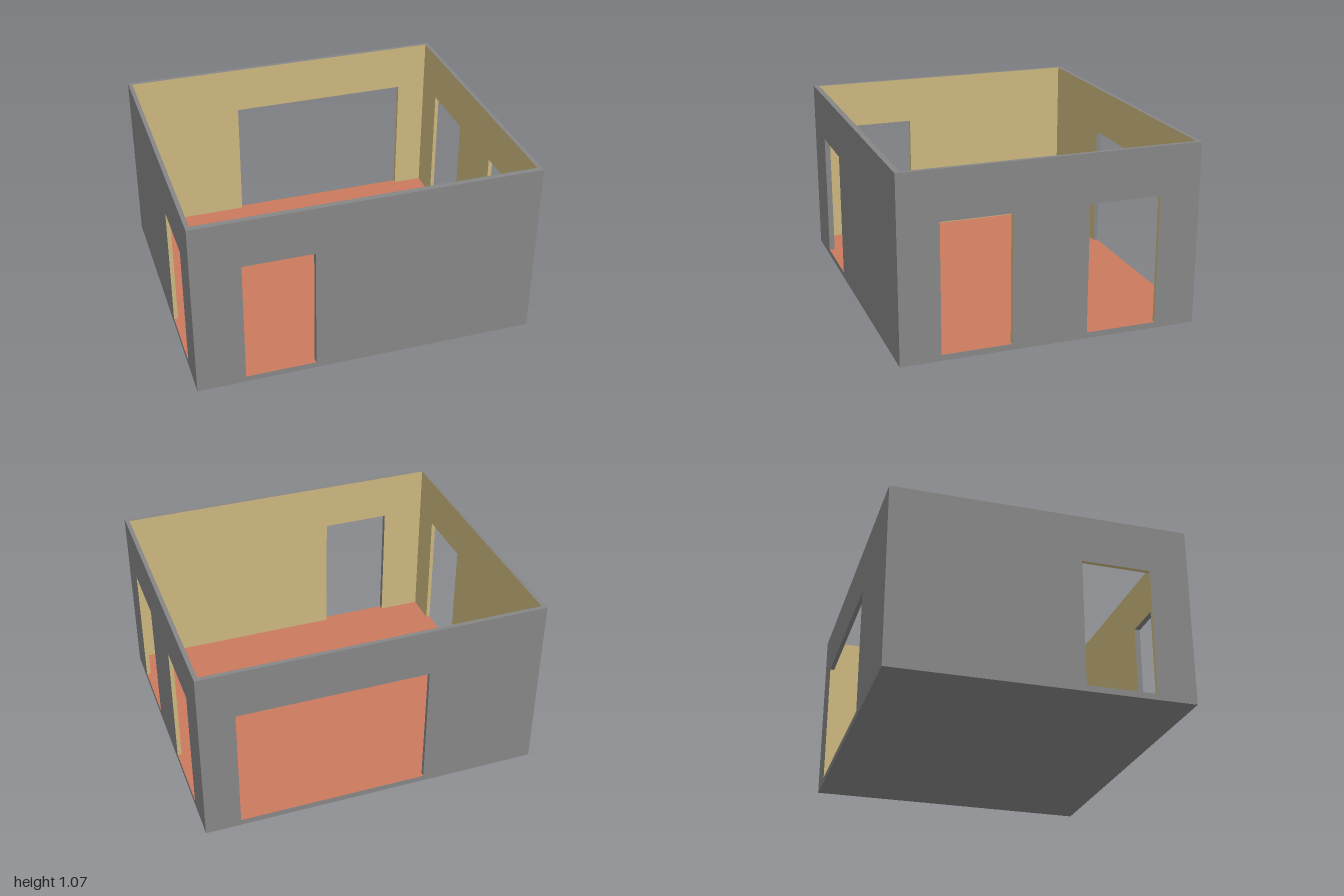
import * as THREE from 'three';

const H = 1.07;        // wall height
const FLOOR = 0.035;   // floor and sill height
const HEAD = 0.785;    // top of the openings
const X = 1, Z = 0.863;                          // outer half sizes
const IN = { x: 0.976, front: 0.83, back: 0.838 }; // inner faces

const grey = new THREE.MeshStandardMaterial({ color: 0x868686 });
const tan = new THREE.MeshStandardMaterial({ color: 0xcbb67d });
const red = new THREE.MeshStandardMaterial({ color: 0xca7a5f });

function add(parent, name, geometry, material) {
  const mesh = new THREE.Mesh(geometry, material);
  mesh.name = name;
  parent.add(mesh);
  return mesh;
}

function rectPoints(a, b, y0, y1) {
  return [[a, y0], [b, y0], [b, y1], [a, y1]].map(([x, y]) => new THREE.Vector2(x, y));
}

// One wall in its own frame: u runs along it, +z points outward.
// Each opening is [u0, u1, material of jamb at u0, material of jamb at u1].
function makeWall({ name, turn, half, outer, inner, innerRange: [a, b], openings }) {
  const wall = new THREE.Group();
  wall.name = name;
  wall.rotation.y = turn;

  // outer face with holes
  const face = new THREE.Shape(rectPoints(-half, half, 0, H));
  for (const [u0, u1] of openings) {
    face.holes.push(new THREE.Path(rectPoints(u0, u1, FLOOR, HEAD)));
  }
  add(wall, 'outerFace', new THREE.ShapeGeometry(face), grey).position.z = outer;

  // inner lining, notched down to the floor and turned to face the room
  const line = [[-b, FLOOR]];
  for (const [u0, u1] of [...openings].reverse()) {
    line.push([-u1, FLOOR], [-u1, HEAD], [-u0, HEAD], [-u0, FLOOR]);
  }
  line.push([-a, FLOOR], [-a, H], [-b, H]);
  const lining = new THREE.Shape(line.map(([x, y]) => new THREE.Vector2(x, y)));
  const liningMesh = add(wall, 'innerLining', new THREE.ShapeGeometry(lining), tan);
  liningMesh.rotation.y = Math.PI;
  liningMesh.position.z = inner;

  // reveals around each opening
  const t = outer - inner, zMid = (outer + inner) / 2, yMid = (FLOOR + HEAD) / 2;
  for (const [u0, u1, m0, m1] of openings) {
    for (const [u, s, m] of [[u0, 1, m0], [u1, -1, m1]]) {
      const jamb = add(wall, 'jamb', new THREE.PlaneGeometry(t, HEAD - FLOOR), m);
      jamb.rotation.y = s * Math.PI / 2;
      jamb.position.set(u, yMid, zMid);
    }
    for (const [part, y, s, m] of [['lintel', HEAD, 1, m0], ['sill', FLOOR, -1, red]]) {
      const strip = add(wall, part, new THREE.PlaneGeometry(u1 - u0, t), m);
      strip.rotation.x = s * Math.PI / 2;
      strip.position.set((u0 + u1) / 2, y, zMid);
    }
  }
  return wall;
}

export function createModel() {
  const room = new THREE.Group();
  room.name = 'room';

  const walls = [
    { name: 'frontWall', turn: 0, half: X, outer: Z, inner: IN.front,
      innerRange: [-IN.x, IN.x], openings: [[-0.72, -0.31, grey, grey]] },
    { name: 'leftSideWall', turn: Math.PI / 2, half: Z, outer: X, inner: IN.x,
      innerRange: [-IN.front, IN.back],
      openings: [[-0.632, -0.232, tan, tan], [0.208, 0.624, tan, tan]] },
    { name: 'backWall', turn: Math.PI, half: X, outer: Z, inner: IN.back,
      innerRange: [-IN.x, IN.x], openings: [[-0.795, 0.312, tan, grey]] },
    { name: 'rightSideWall', turn: -Math.PI / 2, half: Z, outer: X, inner: IN.x,
      innerRange: [-IN.back, IN.front], openings: [[0.23, 0.632, tan, tan]] },
  ];
  for (const w of walls) room.add(makeWall(w));

  // back wall lintel shares the outer colour
  room.getObjectByName('backWall').getObjectByName('lintel').material = grey;

  // rim along the top of the walls (shape y becomes -z)
  const rim = new THREE.Shape(rectPoints(-X, X, -Z, Z));
  rim.holes.push(new THREE.Path(rectPoints(-IN.x, IN.x, -IN.front, IN.back)));
  const rimMesh = add(room, 'wallRim', new THREE.ShapeGeometry(rim), grey);
  rimMesh.rotation.x = -Math.PI / 2;
  rimMesh.position.y = H;

  // floor and underside
  const floor = add(room, 'floor', new THREE.PlaneGeometry(2 * IN.x, IN.front + IN.back), red);
  floor.rotation.x = -Math.PI / 2;
  floor.position.set(0, FLOOR, (IN.front - IN.back) / 2);

  const base = add(room, 'underside', new THREE.PlaneGeometry(2 * X, 2 * Z), grey);
  base.rotation.x = Math.PI / 2;

  return room;
}
